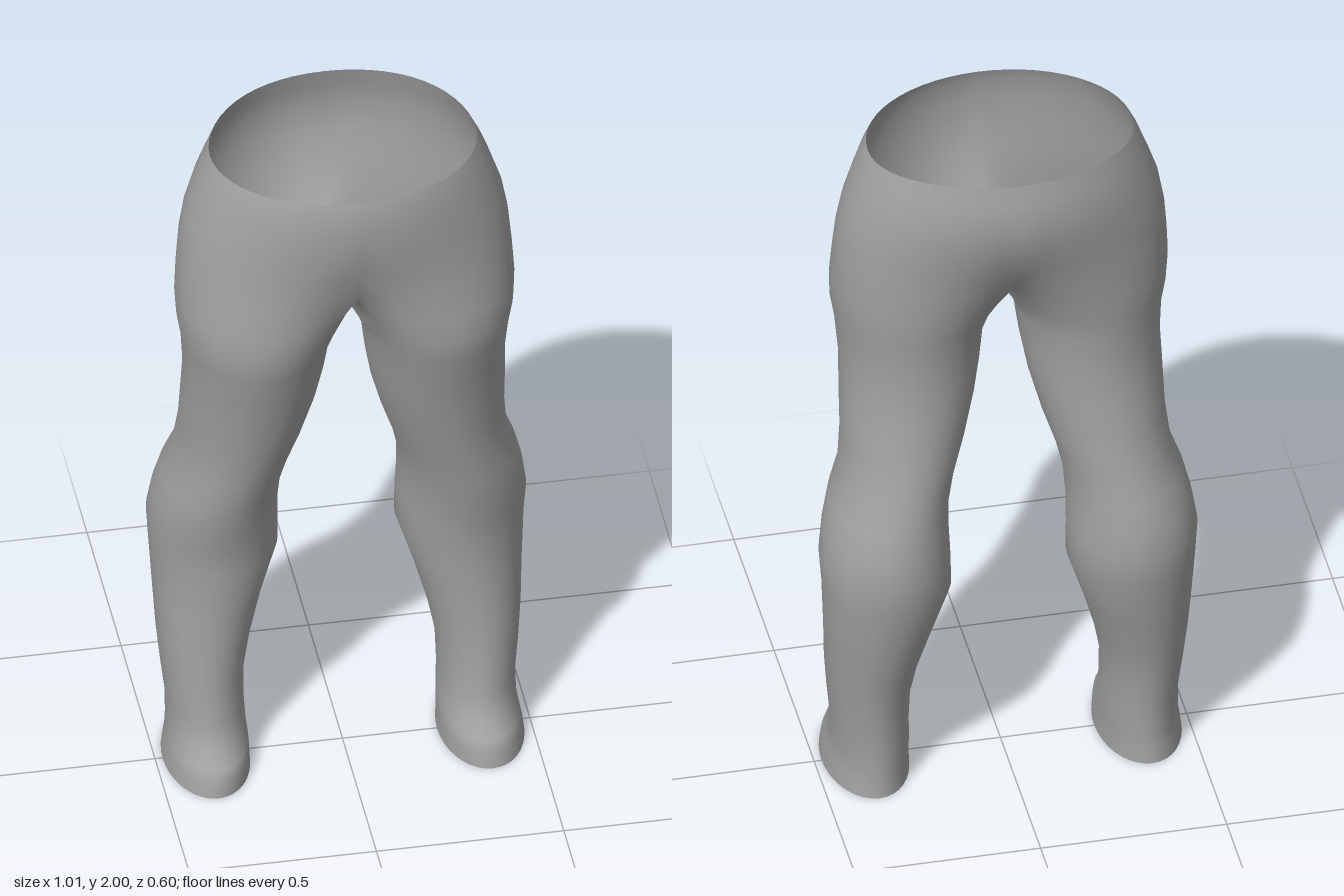
import * as THREE from 'three';
import { mergeVertices } from 'three/addons/utils/BufferGeometryUtils.js';

// Cross-sections of one side, waist to hem: y, inner x, outer x, front z, back z
const ROWS = [
  [1.975, 0, 0.355, 0.283, -0.27],
  [1.94, 0, 0.372, 0.295, -0.285],
  [1.88, 0, 0.395, 0.3, -0.295],
  [1.8, 0, 0.422, 0.298, -0.288],
  [1.72, 0, 0.437, 0.288, -0.268],
  [1.63, 0, 0.445, 0.28, -0.245],
  [1.54, 0.012, 0.45, 0.275, -0.222],
  [1.47, 0.03, 0.446, 0.272, -0.205],
  [1.4, 0.045, 0.434, 0.255, -0.19],
  [1.3, 0.057, 0.427, 0.225, -0.188],
  [1.2, 0.075, 0.43, 0.2, -0.196],
  [1.08, 0.107, 0.432, 0.172, -0.217],
  [0.98, 0.14, 0.442, 0.152, -0.238],
  [0.9, 0.158, 0.472, 0.138, -0.262],
  [0.82, 0.162, 0.492, 0.122, -0.282],
  [0.74, 0.16, 0.504, 0.102, -0.291],
  [0.65, 0.158, 0.498, 0.087, -0.284],
  [0.5, 0.206, 0.49, 0.085, -0.252],
  [0.38, 0.239, 0.484, 0.092, -0.22],
  [0.28, 0.258, 0.475, 0.1, -0.202],
  [0.18, 0.26, 0.464, 0.112, -0.19],
  [0.11, 0.257, 0.465, 0.132, -0.19],
  [0.08, 0.255, 0.468, 0.178, -0.19],
  [0.05, 0.254, 0.474, 0.193, -0.191],
  [0.005, 0.252, 0.48, 0.2, -0.196],
];
const SEGMENTS = 36;
const OUTER = 28; // segments of the outer wall, the rest is the inner thigh
const CROTCH = 5; // row where the two legs part
const SEAM = 140; // angle of the front and back seams around a leg

// Point j of a section: half of the pelvis oval easing into a full leg oval
function sectionPoint(row, j) {
  const [y, xIn, xOut, zFront, zBack] = ROWS[row];
  const cz = (zFront + zBack) / 2, rz = (zFront - zBack) / 2;
  const degrees = -SEAM + (j * 360) / SEGMENTS;
  const angle = THREE.MathUtils.degToRad(degrees);
  const legBlend = 1 - THREE.MathUtils.smoothstep(y, 1.38, 1.84);

  const legX = (xIn + xOut) / 2 + ((xOut - xIn) / 2) * Math.cos(angle);
  const legZ = cz + rz * Math.sin(angle);
  const inner = j > OUTER && j < SEGMENTS;
  const across = (180 - degrees) / (180 - SEAM); // 1 at the front seam, -1 at the back
  const halfAngle = (angle * 90) / SEAM;
  const halfX = inner ? 0 : xOut * Math.cos(halfAngle);
  const halfZ = cz + rz * (inner ? across : Math.sin(halfAngle));

  let x = THREE.MathUtils.lerp(halfX, legX, legBlend);
  const z = THREE.MathUtils.lerp(halfZ, legZ, legBlend);
  if (row <= CROTCH && j % SEGMENTS >= OUTER || row <= CROTCH && j % SEGMENTS === 0) x = 0;

  // the crotch sags between the seams, and the waist rises at the back
  const sag = inner ? (1 - across * across) * 0.09 * THREE.MathUtils.smoothstep(y, 1.38, 1.63) : 0;
  const rise = row === 0 ? 0.025 * THREE.MathUtils.smoothstep(-z, 0, 0.27) : 0;
  return [x, y - sag + rise, z];
}

function trouserGeometry() {
  const positions = [];
  const mirror = ([x, y, z]) => [-x, y, z];
  const triangle = (a, b, c) => {
    positions.push(...a, ...b, ...c);
    positions.push(...mirror(a), ...mirror(c), ...mirror(b));
  };
  for (let row = 0; row < ROWS.length - 1; row++) {
    // above the crotch there is only the outer wall
    const count = row < CROTCH ? OUTER : SEGMENTS;
    for (let j = 0; j < count; j++) {
      const next = (j + 1) % SEGMENTS;
      const a = sectionPoint(row, j), b = sectionPoint(row, next);
      const c = sectionPoint(row + 1, j), d = sectionPoint(row + 1, next);
      triangle(a, b, c);
      triangle(b, d, c);
    }
  }
  const soup = new THREE.BufferGeometry();
  soup.setAttribute('position', new THREE.Float32BufferAttribute(positions, 3));
  const geometry = mergeVertices(soup, 1e-4);
  geometry.computeVertexNormals();
  return geometry;
}

export function createModel() {
  const group = new THREE.Group();
  group.name = 'trousers';
  const greyCloth = new THREE.MeshStandardMaterial({ color: 0xa0a0a0, side: THREE.DoubleSide });
  greyCloth.name = 'grey cloth';
  // open shell: waist, seat and both legs in one piece
  const shell = new THREE.Mesh(trouserGeometry(), greyCloth);
  shell.name = 'trouserShell';
  group.add(shell);
  return group;
}
